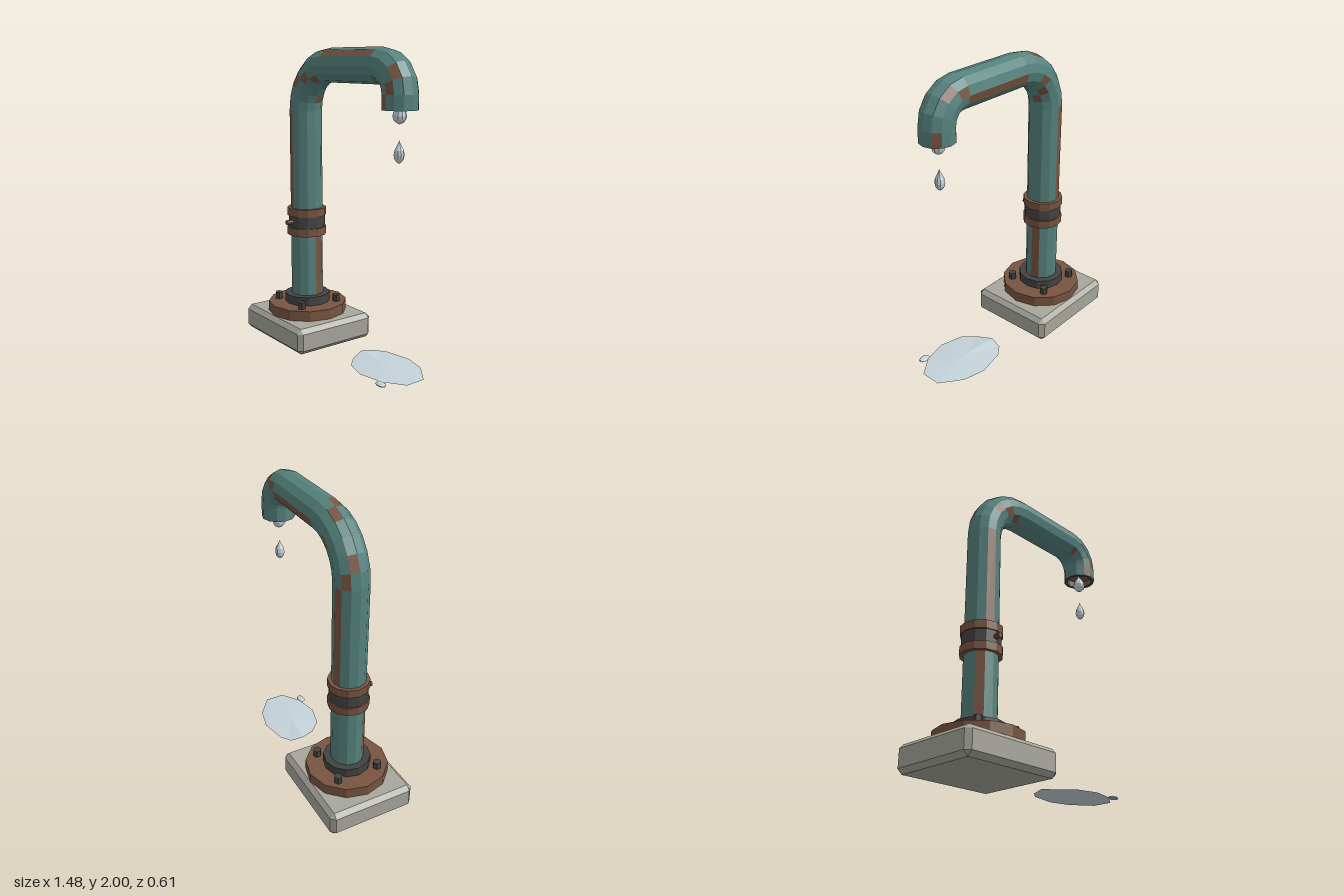
import * as THREE from 'three';
import { ConvexGeometry } from 'three/addons/geometries/ConvexGeometry.js';

const mat = (name, color, extra = {}) =>
  Object.assign(new THREE.MeshStandardMaterial({ color, flatShading: true, ...extra }), { name });

export function createModel() {
  const model = new THREE.Group();
  model.name = 'drippingPipe';
  const teal = mat('tealPaint', 0x55827d);
  const rust = mat('rust', 0x775440);
  const iron = mat('darkIron', 0x434343);
  const concrete = mat('concrete', 0xa6a69c);
  const water = mat('water', 0xc3d2d9);
  const CX = -0.395;

  const add = (name, geometry, material, x = 0, y = 0, z = 0) => {
    const mesh = new THREE.Mesh(geometry, material);
    mesh.name = name;
    mesh.position.set(x, y, z);
    model.add(mesh);
    return mesh;
  };
  // Faceted disc or ring on the column axis, from y0 to y1
  const drum = (name, r, y0, y1, material, sides = 12, x = CX, z = 0) =>
    add(name, new THREE.CylinderGeometry(r, r, y1 - y0, sides), material, x, (y0 + y1) / 2, z);

  // Chamfered concrete block
  const [hx, hy, hz, c] = [0.352, 0.0875, 0.303, 0.03];
  const corners = [];
  for (const sx of [-1, 1]) for (const sy of [-1, 1]) for (const sz of [-1, 1]) {
    corners.push(
      new THREE.Vector3(sx * hx, sy * (hy - c), sz * (hz - c)),
      new THREE.Vector3(sx * (hx - c), sy * hy, sz * (hz - c)),
      new THREE.Vector3(sx * (hx - c), sy * (hy - c), sz * hz));
  }
  add('base', new ConvexGeometry(corners), concrete, CX, hy, 0);

  // Flange, collar and bolts
  drum('flange', 0.275, 0.175, 0.245, rust);
  drum('collar', 0.157, 0.245, 0.305, iron);
  for (const sx of [-1, 1]) for (const sz of [-1, 1])
    drum('bolt', 0.028, 0.245, 0.292, iron, 6, CX + sx * 0.146, sz * 0.146);

  // Coupling on the column with a small pin at the front
  drum('couplingRingLower', 0.135, 0.73, 0.785, rust);
  drum('couplingBand', 0.126, 0.785, 0.865, iron);
  drum('couplingRingUpper', 0.135, 0.865, 0.92, rust);
  const pin = add('couplingPin', new THREE.CylinderGeometry(0.017, 0.017, 0.06, 8), rust, CX, 0.826, 0.137);
  pin.rotation.x = Math.PI / 2;

  // Pipe stations: centre x, y and the angle of the outer side from straight up
  const stations = [[CX, 0.2, -90], [CX, 0.73, -90], [CX, 0.92, -90]];
  const bend = (x, y, r, from, to, steps) => {
    for (let i = 0; i <= steps; i++) {
      const deg = from + (to - from) * i / steps, a = THREE.MathUtils.degToRad(deg);
      stations.push([x + r * Math.sin(a), y + r * Math.cos(a), deg]);
    }
  };
  bend(-0.095, 1.59, 0.3, -90, 0, 6);
  bend(0.41, 1.73, 0.16, 0, 90, 4);
  stations.push([0.57, 1.64, 90]);

  // Rusty facets per pipe segment; facet 0 starts at the outer side, turning to the front
  const rusty = [[1, -6], [], [2, -3], [-2], [-1, -6], [2, -5], [3, -4], [4, -1], [0],
    [1, -4], [-3, 4], [-2], [1], [2], [3, -2]];
  const R = 0.11;
  const point = (i, j) => {
    const [x, y, deg] = stations[i];
    const a = THREE.MathUtils.degToRad(deg), p = j * Math.PI / 6;
    return [x + R * Math.cos(p) * Math.sin(a), y + R * Math.cos(p) * Math.cos(a), R * Math.sin(p)];
  };
  const paintFaces = [], rustFaces = [];
  for (let i = 0; i < stations.length - 1; i++) for (let j = -6; j < 6; j++) {
    const p = point(i, j), q = point(i, j + 1), r = point(i + 1, j + 1), s = point(i + 1, j);
    (rusty[i].includes(j) ? rustFaces : paintFaces).push(...p, ...q, ...r, ...p, ...r, ...s);
  }
  const faces = (positions) => {
    const g = new THREE.BufferGeometry();
    g.setAttribute('position', new THREE.Float32BufferAttribute(positions, 3));
    g.computeVertexNormals();
    return g;
  };
  add('pipe', faces(paintFaces), teal);
  add('pipeRustPatches', faces(rustFaces), rust);

  // Spout mouth: dark rim and rusty, recessed inside
  const rim = add('spoutRim', new THREE.RingGeometry(0.088, 0.11, 12), iron, 0.57, 1.64, 0);
  rim.rotation.x = Math.PI / 2;
  const bore = new THREE.CylinderGeometry(0.088, 0.088, 0.05, 12, 1, true);
  const rustInside = mat('rustInside', 0x775440, { side: THREE.BackSide });
  add('spoutBore', bore, rustInside, 0.57, 1.665, 0);
  const plug = add('spoutInside', new THREE.CircleGeometry(0.088, 12), rust, 0.57, 1.685, 0);
  plug.rotation.x = Math.PI / 2;

  // Water drops, pointed at the top
  const drop = (name, r, h, y) => {
    const profile = [[0, 0], [0.5, 0.07], [0.87, 0.2], [1, 0.38], [0.87, 0.56], [0.5, 0.73], [0.2, 0.87], [0, 1]]
      .map(([x, t]) => new THREE.Vector2(x * r, t * h));
    add(name, new THREE.LatheGeometry(profile, 10), water, 0.567, y, 0);
  };
  drop('hangingDrop', 0.042, 0.13, 1.557);
  drop('fallingDrop', 0.032, 0.138, 1.328);

  // Puddle: shallow irregular lens
  const rimPoints = [[0.45, -0.215], [0.6, -0.18], [0.738, -0.075], [0.738, 0.06], [0.61, 0.15],
    [0.45, 0.185], [0.3, 0.145], [0.22, 0.06], [0.18, -0.04], [0.2, -0.125], [0.27, -0.178]];
  const lens = [];
  rimPoints.forEach(([x, z], i) => {
    const [x2, z2] = rimPoints[(i + 1) % rimPoints.length];
    const edge = (px) => (px < 0.2 ? 0.036 : 0.023);
    const a = [x, edge(x), z], b = [x2, edge(x2), z2];
    lens.push(0.45, 0.037, -0.015, ...b, ...a, 0.45, 0.012, -0.015, ...a, ...b);
  });
  add('puddle', faces(lens), water);
  const splash = add('splashDrop', new THREE.SphereGeometry(1, 10, 6), water, 0.627, 0.02, 0.17);
  splash.scale.set(0.042, 0.012, 0.027);

  return model;
}
